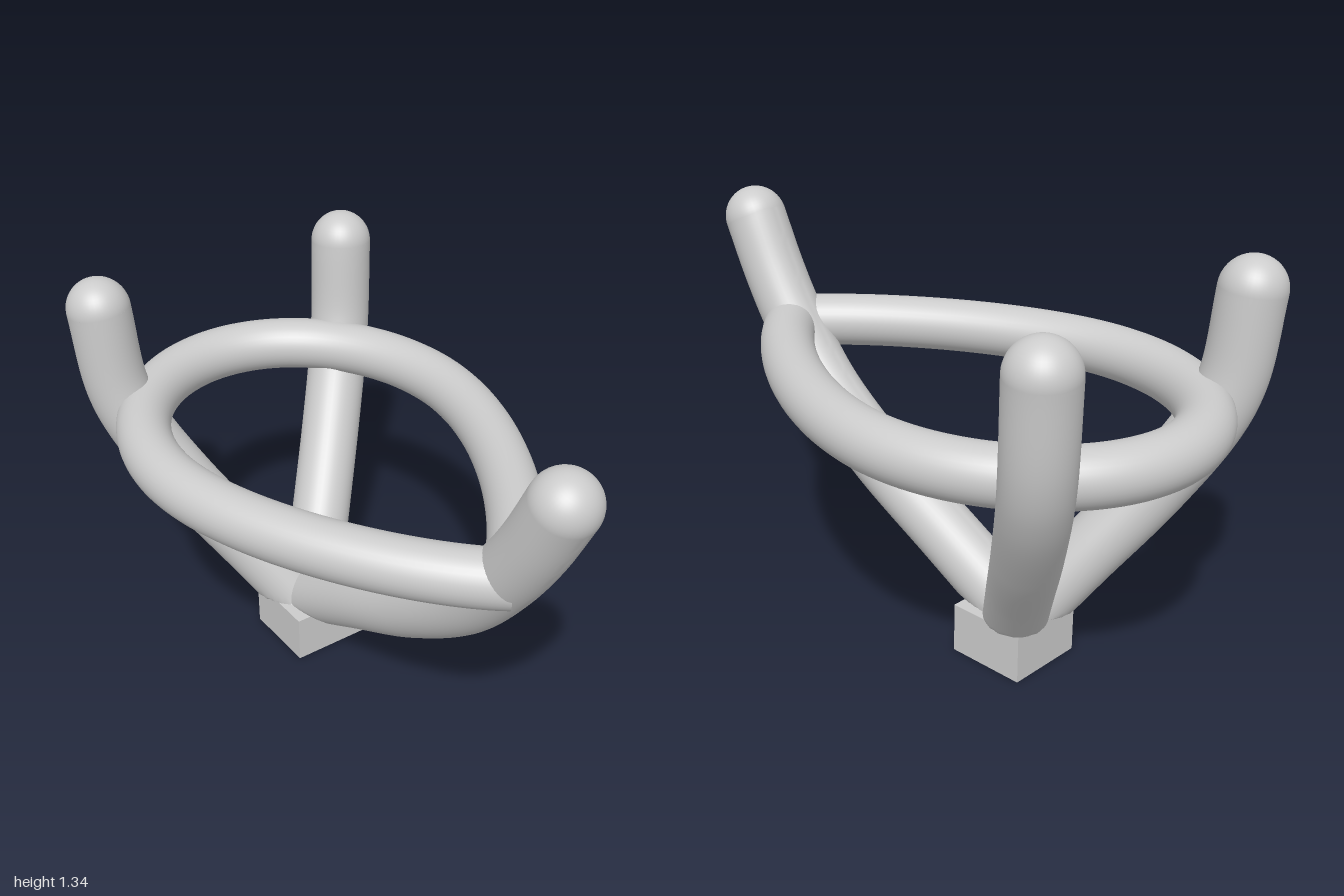
import * as THREE from 'three';
import { toCreasedNormals } from 'three/addons/utils/BufferGeometryUtils.js';

const V = (x, y, z) => new THREE.Vector3(x, y, z);
const PRONG_R = 0.105, RING_R = 0.09, RING_Y = 0.885, BASE_TOP = 0.17;
const CX = 0.007; // prongs and base sit slightly off the ring's axis
const HUB_Z = -0.34;

export function createModel() {
  const model = new THREE.Group();
  const material = new THREE.MeshStandardMaterial({ color: 0xcccccc, side: THREE.DoubleSide });

  function add(parent, name, geometry) {
    const mesh = new THREE.Mesh(geometry, material);
    mesh.name = name;
    parent.add(mesh);
    return mesh;
  }

  // Bent round bar, cut flat at the base block and closed by a dome
  function addProng(name, points) {
    const group = new THREE.Group();
    group.name = name;
    const curve = new THREE.CatmullRomCurve3(points);
    const tube = new THREE.TubeGeometry(curve, 64, PRONG_R, 40);
    const pos = tube.attributes.position;
    for (let i = 0; i < pos.count; i++) pos.setY(i, Math.max(pos.getY(i), BASE_TOP));
    add(group, name + 'Bar', toCreasedNormals(tube, 0.5));

    const dome = add(group, name + 'Tip',
      new THREE.SphereGeometry(PRONG_R, 40, 14, 0, Math.PI * 2, 0, Math.PI / 2));
    dome.position.copy(points[points.length - 1]);
    dome.quaternion.setFromUnitVectors(V(0, 1, 0), curve.getTangentAt(1));
    model.add(group);
  }

  // Base block
  add(model, 'base', new THREE.BoxGeometry(0.274, BASE_TOP, 0.274))
    .position.set(CX, BASE_TOP / 2, HUB_Z);

  // Front prong: [z, y] along its centre line
  addProng('frontProng', [
    [-0.34, 0.155], [-0.05, 0.316], [0.28, 0.5], [0.54, 0.695],
    [0.7, 0.89], [0.8, 1.05], [0.89, 1.23],
  ].map(([z, y]) => V(CX, y, z)));

  // Two rear prongs at 45 degrees: [outward offset in x and z, y]
  const rear = [[0, 0.095], [0.15, 0.345], [0.3, 0.59], [0.415, 0.82], [0.455, 0.96], [0.478, 1.235]];
  for (const [name, s] of [['leftRearProng', 1], ['rightRearProng', -1]])
    addProng(name, rear.map(([a, y]) => V(CX + s * a, y, HUB_Z - a)));

  // Teardrop ring, from the pointed front round the back and home again
  const bez = (...p) => new THREE.CubicBezierCurve3(...p.map(([x, z]) => V(x, RING_Y, z)));
  const half = [
    [[0, 0.72], [0.22, 0.55], [0.53, 0.08], [0.53, -0.29]],
    [[0.53, -0.29], [0.53, -0.63], [0.29, -0.91], [0, -0.91]],
  ];
  const path = new THREE.CurvePath();
  for (const seg of half) path.add(bez(...seg));
  for (const seg of [...half].reverse())
    path.add(bez(...[...seg].reverse().map(([x, z]) => [-x, z])));
  add(model, 'ring', new THREE.TubeGeometry(path, 160, RING_R, 36));

  return model;
}
